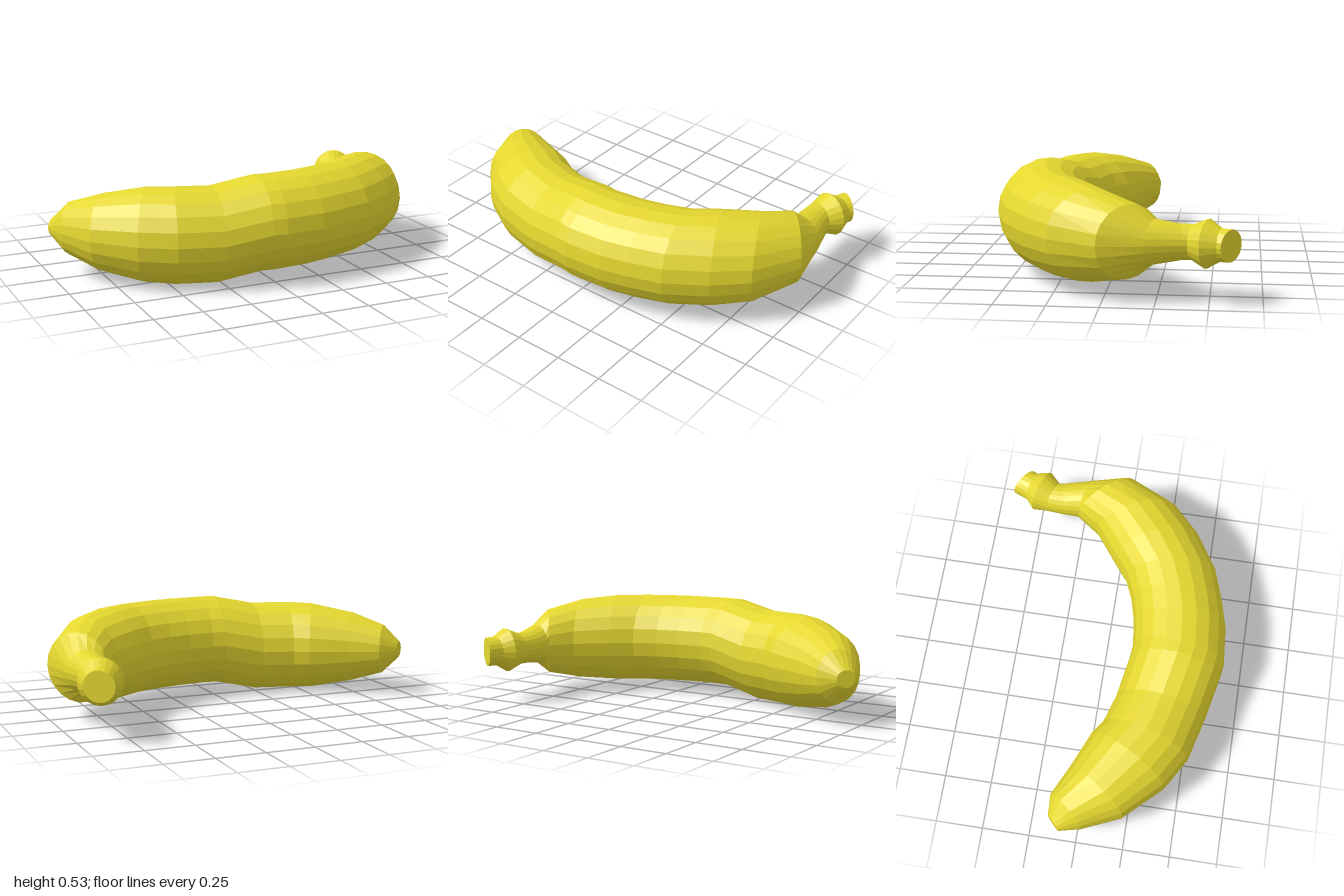
import * as THREE from 'three';

const SIDES = 20;

// Each ring: inner x, z (concave side), outer x, z (convex side), centre y, half height
const BODY = [
  [-0.93, -0.15, -1.0, -0.085, 0.25, 0.045],
  [-0.82, -0.155, -0.97, 0.03, 0.25, 0.135],
  [-0.66, -0.08, -0.88, 0.23, 0.25, 0.195],
  [-0.47, 0.0, -0.7, 0.42, 0.25, 0.238],
  [-0.4, 0.05, -0.53, 0.52, 0.249, 0.244],
  [-0.24, 0.1, -0.3, 0.58, 0.248, 0.244],
  [-0.03, 0.14, -0.07, 0.63, 0.292, 0.244],
  [0.04, 0.147, 0.0, 0.64, 0.292, 0.244],
  [0.18, 0.13, 0.21, 0.625, 0.292, 0.244],
  [0.3, 0.1, 0.35, 0.59, 0.292, 0.244],
  [0.42, 0.05, 0.52, 0.535, 0.292, 0.243],
  [0.52, -0.03, 0.72, 0.41, 0.292, 0.242],
  [0.68, -0.15, 0.87, 0.27, 0.29, 0.224],
  [0.76, -0.265, 1.0, 0.02, 0.289, 0.178],
  [0.76, -0.272, 0.97, -0.205, 0.288, 0.108],
];
const STEM = [
  BODY[BODY.length - 1],
  [0.76, -0.35, 0.93, -0.375, 0.287, 0.086],
  [0.767, -0.45, 0.925, -0.395, 0.287, 0.084],
  [0.77, -0.53, 0.98, -0.45, 0.287, 0.117],
  [0.82, -0.57, 0.97, -0.53, 0.287, 0.078],
  [0.85, -0.645, 0.98, -0.55, 0.287, 0.077],
];

// Skin a row of elliptical rings, optionally closing either end
function loft(rings, capStart, capEnd) {
  const pos = [], index = [];
  for (const [ix, iz, ox, oz, cy, ry] of rings) {
    for (let j = 0; j < SIDES; j++) {
      const a = (j / SIDES) * Math.PI * 2, s = (1 + Math.cos(a)) / 2;
      pos.push(ix + (ox - ix) * s, cy + ry * Math.sin(a), iz + (oz - iz) * s);
    }
  }
  const at = (i, j) => i * SIDES + (j % SIDES);
  for (let i = 0; i < rings.length - 1; i++) {
    for (let j = 0; j < SIDES; j++) {
      const a = at(i, j), b = at(i, j + 1), c = at(i + 1, j), d = at(i + 1, j + 1);
      index.push(a, c, b, b, c, d);
    }
  }
  const last = rings.length - 1;
  for (let j = 1; j < SIDES - 1; j++) {
    if (capStart) index.push(at(0, 0), at(0, j), at(0, j + 1));
    if (capEnd) index.push(at(last, 0), at(last, j + 1), at(last, j));
  }
  const geo = new THREE.BufferGeometry();
  geo.setAttribute('position', new THREE.Float32BufferAttribute(pos, 3));
  geo.setIndex(index);
  geo.computeVertexNormals();
  return geo;
}

export function createModel() {
  const group = new THREE.Group();
  group.name = 'banana';
  const skin = new THREE.MeshStandardMaterial({ color: 0xe5d72f, flatShading: true });

  // Curved fruit, closed at the blossom tip
  const body = new THREE.Mesh(loft(BODY, true, false), skin);
  body.name = 'fruitBody';

  // Narrow stem with a flared collar and a flat cut end
  const stem = new THREE.Mesh(loft(STEM, false, true), skin);
  stem.name = 'stem';

  group.add(body, stem);
  return group;
}
